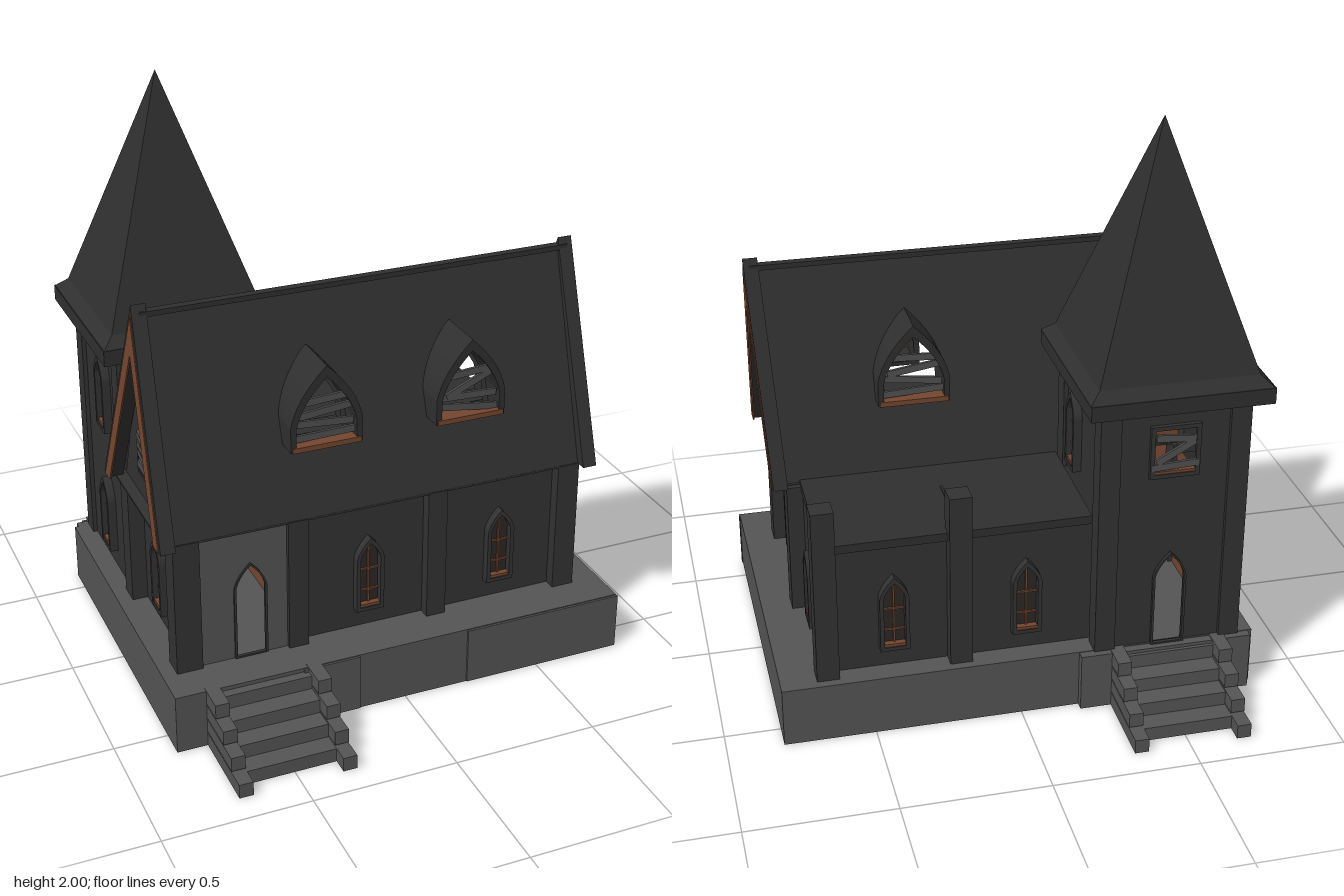
import * as THREE from 'three';

const mat = (name, color) => {
  const m = new THREE.MeshStandardMaterial({ color });
  m.name = name;
  return m;
};

export function createModel() {
  const root = new THREE.Group();
  root.name = 'oldChapelHouse';
  const stone = mat('stone', 0x545454), wall = mat('darkWall', 0x323232), roof = mat('roofSlate', 0x2f2f2f);
  const wood = mat('brownWood', 0x74462f), plank = mat('greyPlank', 0x505050), glass = mat('darkGlass', 0x2a2624);

  const add = (name, geo, m, parent = root) => {
    const mesh = new THREE.Mesh(geo, m);
    mesh.name = name;
    parent.add(mesh);
    return mesh;
  };
  // Box given by its limits
  const box = (name, m, x0, x1, y0, y1, z0, z1, parent = root) => {
    const mesh = add(name, new THREE.BoxGeometry(x1 - x0, y1 - y0, z1 - z0), m, parent);
    mesh.position.set((x0 + x1) / 2, (y0 + y1) / 2, (z0 + z1) / 2);
    return mesh;
  };
  const poly = (...pts) => new THREE.Shape(pts.map(([x, y]) => new THREE.Vector2(x, y)));
  const rect = (x0, x1, y0, y1) => poly([x0, y0], [x1, y0], [x1, y1], [x0, y1]);
  // Pointed arch of half width w
  const arch = (w, h, cx = 0, y = 0) => {
    const s = new THREE.Shape(), k = h - w * 1.6;
    s.moveTo(cx - w, y).lineTo(cx + w, y).lineTo(cx + w, y + k);
    s.quadraticCurveTo(cx + w * 0.85, y + k + w * 0.8, cx, y + h);
    s.quadraticCurveTo(cx - w * 0.85, y + k + w * 0.8, cx - w, y + k);
    return s;
  };
  const cut = (shape, ...holes) => { shape.holes.push(...holes); return shape; };
  const plane = (name, shape, m, x, z, ry = 0) => {
    const mesh = add(name, new THREE.ShapeGeometry(shape, 8), m);
    mesh.position.set(x, 0, z);
    mesh.rotation.y = ry;
    return mesh;
  };
  const extrude = (shape, depth) => new THREE.ExtrudeGeometry(shape, { depth, bevelEnabled: false, curveSegments: 8 });
  const R = Math.PI / 2;

  // Stone base with slightly raised facing slabs
  box('base', stone, -0.815, 0.81, 0, 0.21, -0.59, 0.6);
  box('baseTowerExtension', stone, -0.8, -0.2, 0, 0.208, -0.62, -0.58);
  box('baseSlab', stone, 0.23, 0.813, 0.003, 0.207, 0.59, 0.608);
  box('baseSlab', stone, -0.37, -0.17, 0.003, 0.207, 0.59, 0.608);

  // Front and back stairs with stepped cheeks
  for (const side of [1, -1]) {
    const stairs = new THREE.Group();
    stairs.name = side > 0 ? 'frontStairs' : 'backStairs';
    stairs.scale.z = side;
    root.add(stairs);
    for (let i = 0; i < 4; i++) {
      const z = 0.9 - i * 0.07;
      for (const x of [-0.71, -0.355])
        box('stairCheek', stone, x, x + 0.048, i * 0.054, (i + 1) * 0.054 - 0.004, 0.58, z, stairs);
      box('tread', stone, -0.665, -0.352, i * 0.049, (i + 1) * 0.049, 0.58, z - 0.058, stairs);
    }
  }

  // Hall walls and doorway panel
  plane('hallFrontWall', rect(-0.37, 0.65, 0.21, 0.69), wall, 0, 0.43);
  plane('doorPanel', cut(rect(-0.68, -0.36, 0.21, 0.69), arch(0.05, 0.34, -0.5, 0.215)), stone, 0, 0.455);
  plane('rightWall', rect(-0.43, 0.51, 0.21, 0.69), wall, 0.65, 0, R);
  plane('hallLeftWall', rect(-0.12, 0.43, 0.21, 0.69), wall, -0.71, 0, -R);
  plane('wingBackWall', rect(-0.65, 0.27, 0.21, 0.69), wall, 0, -0.51, Math.PI);
  box('hallCeiling', wall, -0.79, 0.72, 0.685, 0.692, -0.08, 0.47);
  box('wingRoof', roof, -0.25, 0.655, 0.67, 0.7, -0.53, -0.04);
  box('wingRoofSeam', roof, 0.19, 0.198, 0.69, 0.704, -0.5, -0.22);
  plane('passageLeftWall', rect(-0.45, 0.58, 0.21, 0.69), wood, -0.69, 0, R);
  plane('passageRightWall', rect(-0.58, 0.45, 0.21, 0.69), wood, -0.32, 0, -R);

  // Pillars
  for (const [x0, x1] of [[-0.765, -0.675], [-0.37, -0.3], [0.135, 0.205], [0.625, 0.705]])
    box('frontPillar', wall, x0, x1, 0.21, 0.69, 0.39, 0.472);
  box('sidePillar', wall, 0.625, 0.705, 0.21, 0.69, -0.1, -0.02);
  box('sidePillar', wall, -0.765, -0.675, 0.21, 0.69, -0.1, -0.02);
  for (const x of [0.2, 0.65]) box('wingPillar', wall, x - 0.038, x + 0.038, 0.21, 0.84, -0.56, -0.485);

  // Tower
  const tx = -0.505, tz = -0.345;
  plane('towerBackWall', cut(rect(-0.24, 0.24, 0.21, 1.12), arch(0.05, 0.34, 0, 0.215), rect(-0.075, 0.075, 0.86, 1.03)),
    wall, tx, -0.585, Math.PI);
  plane('towerFrontWall', rect(-0.24, 0.24, 0.69, 1.12), wall, tx, -0.1);
  plane('towerRightWall', rect(-0.245, 0.24, 0.21, 1.12), wall, -0.265, tz, R);
  plane('towerLeftWall', rect(-0.24, 0.245, 0.21, 1.12), wall, -0.745, tz, -R);
  for (const [x, z] of [[-0.725, -0.565], [-0.285, -0.565], [-0.725, -0.125], [-0.285, -0.125]])
    box('towerCornerPillar', wall, x - 0.035, x + 0.035, z < -0.3 ? 0.21 : 0.69, 1.12, z - 0.035, z + 0.035);
  box('towerEave', roof, -0.815, -0.2, 1.11, 1.165, -0.655, -0.035);
  const pyramid = (name, rTop, rBase, y0, y1) => {
    const g = new THREE.CylinderGeometry(rTop * Math.SQRT2, rBase * Math.SQRT2, y1 - y0, 4, 1).toNonIndexed();
    g.rotateY(Math.PI / 4);
    g.computeVertexNormals();
    add(name, g, roof).position.set(tx, (y0 + y1) / 2, tz);
  };
  pyramid('towerRoofFlare', 0.268, 0.307, 1.165, 1.2);
  pyramid('towerSpire', 0, 0.268, 1.2, 2);
  box('towerRoofLink', wood, -0.7, -0.3, 0.72, 1.1, -0.098, 0.07);

  // Main roof slopes, leaning slightly to one side towards the ridge
  const lean = (g) => {
    const p = g.attributes.position;
    for (let i = 0; i < p.count; i++) p.setX(i, p.getX(i) + 0.03 * (p.getY(i) - 0.69) / 0.72);
    g.computeVertexNormals();
    return g;
  };
  const slope = (name, shape, back) => {
    const g = new THREE.ShapeGeometry(shape, 8), p = g.attributes.position;
    for (let i = 0; i < p.count; i++) p.setZ(i, 0.27 * (1.39 - p.getY(i)) / 0.7);
    if (back) g.rotateY(Math.PI);
    g.translate(0, 0, 0.2);
    add(name, lean(g), roof);
  };
  slope('frontRoofSlope', cut(rect(-0.79, 0.73, 0.69, 1.39), arch(0.1, 0.22, -0.25, 0.95), arch(0.1, 0.22, 0.265, 0.95)));
  slope('backRoofSlope', cut(rect(-0.73, 0.79, 0.69, 1.39), arch(0.1, 0.22, -0.225, 0.95)), true);
  add('ridge', new THREE.BoxGeometry(1.52, 0.018, 0.03), roof).position.set(0, 1.387, 0.2);

  // Gable walls, bargeboards and brown trim at both ends
  const chevron = (a, ha, b, hb) => poly([-a, 0.69], [-b, 0.69], [0, hb], [b, 0.69], [a, 0.69], [0, ha]);
  for (const s of [1, -1]) {
    const gable = cut(poly([-0.27, 0.69], [0.27, 0.69], [0, 1.37]), arch(0.065, 0.17, 0, 0.8));
    plane('gableWall', gable, wall, s > 0 ? 0.69 : -0.75, 0.2, s * R);
    const board = extrude(chevron(0.31, 1.42, 0.255, 1.29), 0.05).rotateY(R);
    add('bargeboard', lean(board.translate(s > 0 ? 0.7 : -0.815, 0, 0.2)), roof);
    const trim = extrude(chevron(0.292, 1.38, 0.24, 1.25), 0.006).rotateY(R);
    add('gableTrim', lean(trim.translate(s > 0 ? 0.747 : -0.818, 0, 0.2)), wood);
  }

  const frameGroup = (name, x, y, z, ry) => {
    const g = new THREE.Group();
    g.name = name;
    g.position.set(x, y, z);
    g.rotation.y = ry;
    root.add(g);
    return g;
  };
  // Narrow glazed window
  const lancet = (x, y, z, ry, pane = glass) => {
    const g = frameGroup('lancetWindow', x, y, z, ry);
    add('frame', extrude(cut(arch(0.05, 0.28), arch(0.036, 0.245, 0, 0.014)), 0.03), wall, g);
    add('pane', new THREE.ShapeGeometry(arch(0.04, 0.26, 0, 0.008), 8), pane, g).position.z = 0.004;
    box('mullion', wood, -0.003, 0.003, 0.014, 0.25, 0.005, 0.012, g);
    for (const h of [0.07, 0.15]) box('crossbar', wood, -0.036, 0.036, h, h + 0.006, 0.005, 0.012, g);
    box('windowSill', wood, -0.036, 0.036, 0.013, 0.024, 0.005, 0.026, g);
  };
  for (const x of [-0.07, 0.42]) lancet(x, 0.28, 0.43, 0);
  for (const x of [-0.03, 0.42]) lancet(x, 0.28, -0.51, Math.PI);
  for (const z of [0.18, -0.3]) lancet(0.65, 0.28, z, R);
  lancet(-0.71, 0.28, 0.18, -R);
  lancet(-0.745, 0.28, -0.3, -R);
  lancet(-0.745, 0.76, -0.285, -R, plank);
  lancet(-0.265, 0.76, -0.285, R, plank);

  // Loose boards nailed across an opening
  const boards = (g, w, y0, gap, tilts, z) => tilts.forEach((t, i) => {
    const b = add('nailedBoard', new THREE.BoxGeometry(2 * w * (1 - 0.08 * i), 0.024, 0.01), plank, g);
    b.position.set(0, y0 + i * gap, z + i * 0.002);
    b.rotation.z = t;
  });

  // Boarded dormers
  const dormer = (x, z, ry, depth, tilts) => {
    const g = frameGroup('dormer', x, 0.93, z, ry);
    const hood = extrude(cut(arch(0.125, 0.29), arch(0.105, 0.235, 0, 0.014)), depth);
    add('dormerHood', hood.translate(0, 0, -depth), roof, g);
    box('dormerSill', wood, -0.12, 0.12, 0, 0.018, -0.06, 0.006, g);
    boards(g, 0.108, 0.04, 0.043, tilts, -0.02);
  };
  dormer(-0.225, 0.452, 0, 0.18, [0.02, -0.08, 0.1, 0.06]);
  dormer(0.29, 0.452, 0, 0.18, [-0.14, -0.04, 0.42, 0.08]);
  dormer(0.245, -0.035, Math.PI, 0.16, [0.05, -0.12, 0.15, -0.05]);

  // Boarded gable windows
  for (const s of [1, -1]) {
    const g = frameGroup('gableWindow', s > 0 ? 0.69 : -0.75, 0.79, 0.2, s * R);
    add('frame', extrude(cut(arch(0.075, 0.19), arch(0.062, 0.162, 0, 0.012)), 0.015), wall, g);
    box('windowSill', wood, -0.065, 0.065, 0.008, 0.02, -0.03, 0.012, g);
    boards(g, 0.066, 0.035, 0.036, [-0.08, -0.3, -0.25, -0.35], 0.012);
  }

  // Boarded tower window and door frames
  const tw = frameGroup('towerBackWindow', tx, 0.86, -0.585, Math.PI);
  add('frame', extrude(cut(rect(-0.085, 0.085, -0.01, 0.18), rect(-0.07, 0.07, 0.005, 0.165)), 0.015), wall, tw);
  box('windowSill', wood, -0.075, 0.075, 0, 0.014, -0.04, 0.012, tw);
  boards(tw, 0.08, 0.035, 0.05, [0.05, 0.5, -0.1], 0.012);
  for (const [x, z, ry] of [[-0.5, 0.45, 0], [tx, -0.59, Math.PI]]) {
    const g = frameGroup('doorFrame', x, 0.21, z, ry);
    add('doorArch', extrude(cut(arch(0.058, 0.355), arch(0.05, 0.34, 0, 0.006)), 0.012), wall, g);
  }
  return root;
}
